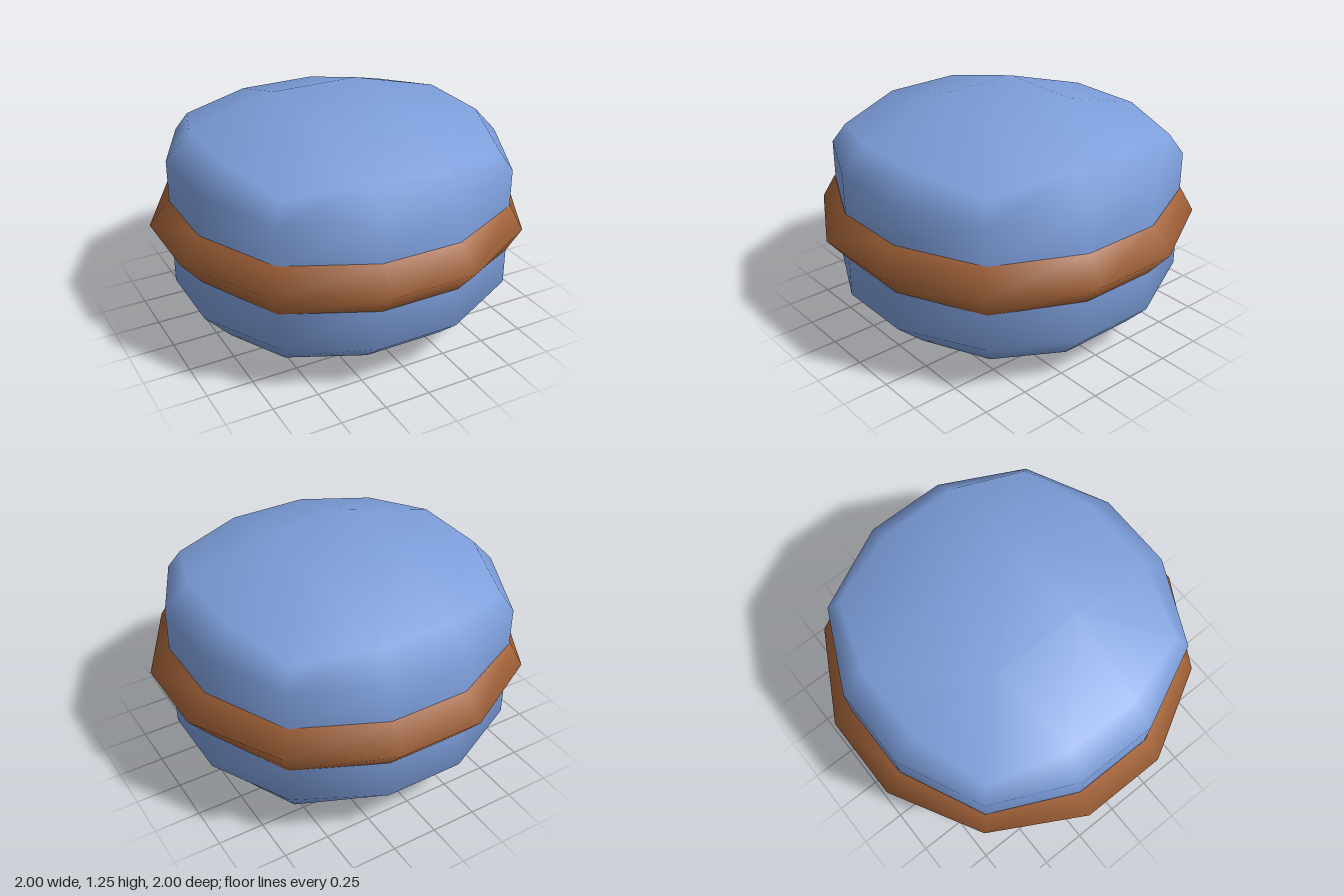
import * as THREE from 'three';

const MID = 0.624; // height of the filling's widest line

// Twelve-point ring, symmetric in x and z, running from +x towards +z.
// Each of xEdge, corner and zEdge is [x, y, z] in the +x +z quadrant.
function ring(xEdge, corner, zEdge) {
  const quadrant = [xEdge, corner, zEdge];
  const points = [];
  for (const [sx, sz] of [[1, 1], [-1, 1], [-1, -1], [1, -1]]) {
    const order = sx * sz > 0 ? quadrant : [...quadrant].reverse();
    for (const [x, y, z] of order) points.push([sx * x, y, sz * z]);
  }
  return points;
}

function evenRing(edge, side, corner, y) {
  return ring([edge, y, side], [corner, y, corner], [side, y, edge]);
}

function build(points, quads) {
  const geometry = new THREE.BufferGeometry();
  geometry.setAttribute('position', new THREE.Float32BufferAttribute(points.flat(), 3));
  geometry.setIndex(quads.flatMap(([a, b, c, d]) => [a, b, c, a, c, d]));
  geometry.computeVertexNormals();
  return geometry;
}

// Quads joining successive rings, listed from the top down
function wall(ringCount, start) {
  const quads = [];
  for (let r = 0; r < ringCount - 1; r++) {
    const a = start + r * 12, b = a + 12;
    for (let i = 0; i < 12; i++) {
      const j = (i + 1) % 12;
      quads.push([a + i, a + j, b + j, b + i]);
    }
  }
  return quads;
}

// Domed shell: flat centre square, sloping top, shoulder and upright side
function shellGeometry() {
  const centre = [[0.25, 1], [-0.25, 1], [-0.25, -1], [0.25, -1]].map(([x, s]) => [x, 0.624, 0.25 * s]);
  const points = [
    ...centre,
    ...ring([0.75, 0.505, 0.22], [0.62, 0.44, 0.62], [0.22, 0.478, 0.75]),
    ...ring([0.888, 0.36, 0.22], [0.675, 0.335, 0.675], [0.22, 0.352, 0.89]),
    ...evenRing(0.888, 0.22, 0.675, 0.12),
  ];
  const quads = [[0, 3, 2, 1], ...wall(3, 4)];
  for (let q = 0; q < 4; q++) {
    const p = 4 + q * 3, next = (q + 1) % 4;
    quads.push([q, p + 2, p + 1, p]);
    quads.push([q, next, 4 + next * 3, p + 2]);
  }
  return build(points, quads);
}

// Filling: a band that bulges to a ridge halfway up
function fillingGeometry() {
  const points = [
    ...evenRing(0.89, 0.222, 0.677, 0.133),
    ...evenRing(1, 0.24, 0.73, 0),
    ...evenRing(0.89, 0.222, 0.677, -0.133),
  ];
  return build(points, wall(3, 0));
}

export function createModel() {
  const blue = new THREE.MeshStandardMaterial({ color: 0x7d9edb, side: THREE.DoubleSide });
  blue.name = 'shellBlue';
  const brown = new THREE.MeshStandardMaterial({ color: 0xa5643a, side: THREE.DoubleSide });
  brown.name = 'fillingBrown';

  const group = new THREE.Group();
  group.name = 'macaron';
  const add = (name, geometry, material) => {
    const mesh = new THREE.Mesh(geometry, material);
    mesh.name = name;
    mesh.position.y = MID;
    group.add(mesh);
    return mesh;
  };

  const shell = shellGeometry();
  add('topShell', shell, blue);
  add('bottomShell', shell, blue).rotation.x = Math.PI;
  add('filling', fillingGeometry(), brown);
  return group;
}
